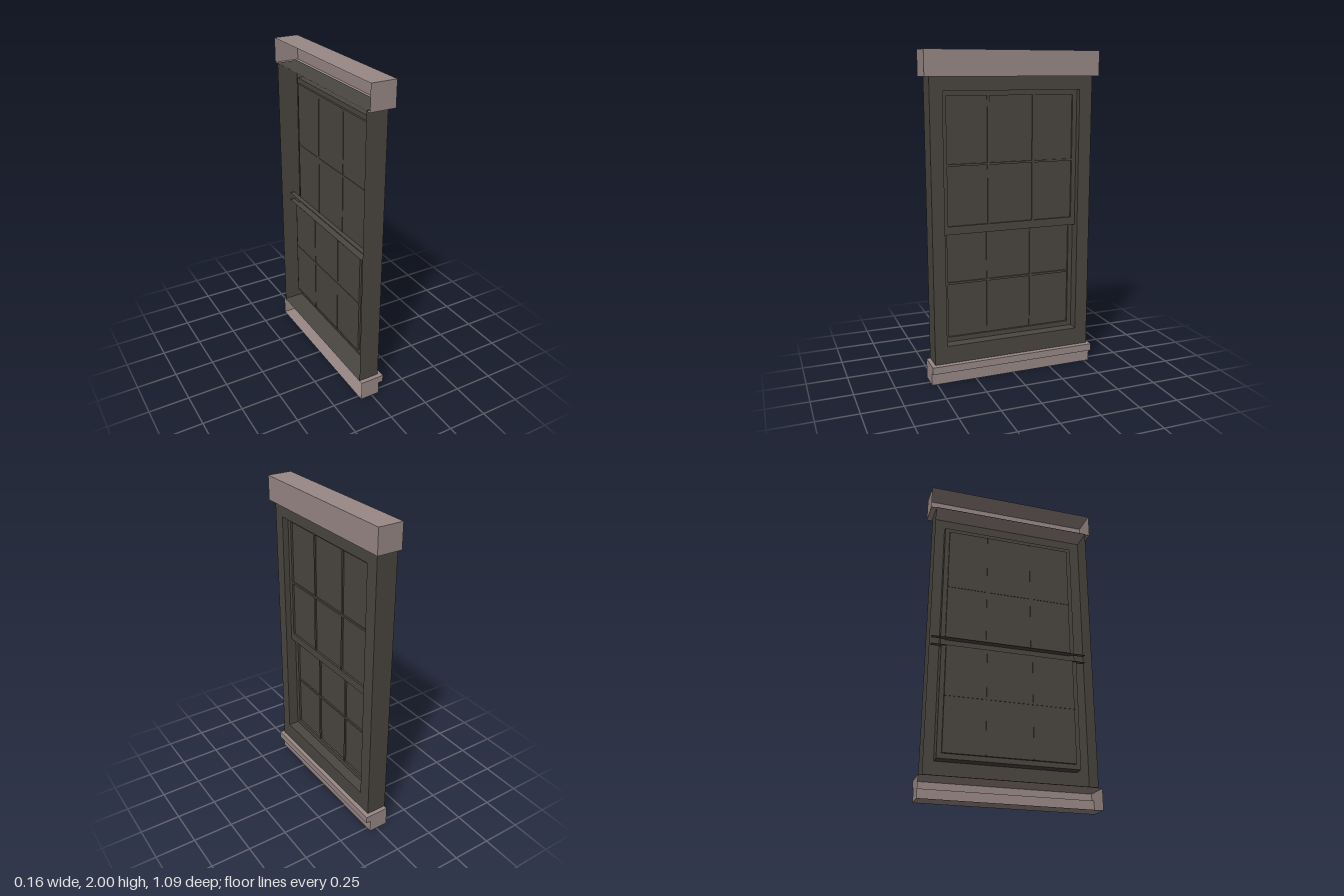
import * as THREE from 'three';
import { mergeGeometries } from 'three/addons/utils/BufferGeometryUtils.js';

// Rectangles are [left, right, bottom, top]; depth runs outwards along local z.
function face([l, r, b, t], depth, hole) {
  const shape = new THREE.Shape([[l, b], [r, b], [r, t], [l, t]].map(p => new THREE.Vector2(...p)));
  if (hole) {
    const [hl, hr, hb, ht] = hole;
    shape.holes.push(new THREE.Path([[hl, hb], [hl, ht], [hr, ht], [hr, hb]].map(p => new THREE.Vector2(...p))));
  }
  return new THREE.ShapeGeometry(shape).translate(0, 0, depth);
}

// Walls running back from the chosen edges of a rectangle, normals outwards
function walls([l, r, b, t], back, front, edges = 'lrbt') {
  const d = front - back, z = (front + back) / 2, cx = (l + r) / 2, cy = (b + t) / 2;
  const make = {
    l: () => new THREE.PlaneGeometry(d, t - b).rotateY(-Math.PI / 2).translate(l, cy, z),
    r: () => new THREE.PlaneGeometry(d, t - b).rotateY(Math.PI / 2).translate(r, cy, z),
    b: () => new THREE.PlaneGeometry(r - l, d).rotateX(Math.PI / 2).translate(cx, b, z),
    t: () => new THREE.PlaneGeometry(r - l, d).rotateX(-Math.PI / 2).translate(cx, t, z),
  };
  return mergeGeometries([...edges].map(e => make[e]()));
}

export function createModel() {
  const stone = new THREE.MeshStandardMaterial({ name: 'stone', color: 0x988886, side: THREE.DoubleSide });
  const wood = new THREE.MeshStandardMaterial({ name: 'darkWood', color: 0x4a4640, side: THREE.DoubleSide });

  const model = new THREE.Group();
  model.name = 'window';
  const body = new THREE.Group();
  body.name = 'windowBody';
  body.rotation.y = Math.PI / 2; // the window looks along +x
  model.add(body);

  function add(name, material, ...geometries) {
    const mesh = new THREE.Mesh(mergeGeometries(geometries), material);
    mesh.name = name;
    body.add(mesh);
  }

  const back = -0.0775, front = 0.0775, frameFront = 0.053;
  const upperSash = 0.015, upperPane = 0.003, lowerSash = -0.015, lowerPane = -0.028;

  // Lintel, open at the back
  const lintel = [-0.543, 0.543, 1.85, 2];
  add('lintel', stone, face(lintel, front), walls(lintel, back, front));

  // Sill with a projecting upper lip, open at the back
  const lip = [-0.533, 0.533, 0.08, 0.125], base = [-0.533, 0.533, 0, 0.08];
  add('sillLip', stone, face(lip, front), walls(lip, back, front, 'lrt'), walls(lip, 0.048, front, 'b'));
  add('sillBase', stone, face(base, 0.048), walls(base, back, 0.048, 'lrb'));

  // Outer frame shell with one tall opening
  const frame = [-0.51, 0.51, 0.129, 1.854], opening = [-0.433, 0.428, 0.24, 1.77];
  add('frame', wood, face(frame, frameFront, opening), walls(frame, back, frameFront));
  const upper = [-0.433, 0.428, 0.925, 1.77], lower = [-0.433, 0.428, 0.24, 0.925];
  add('openingReveal', wood, walls(upper, upperSash, frameFront, 'lrt'), walls(lower, lowerSash, frameFront, 'lrb'));

  // Sashes: upper one set forward of the lower one
  const upperGlass = [-0.403, 0.4, 0.975, 1.74], lowerGlass = [-0.403, 0.4, 0.27, 0.9249];
  add('upperSash', wood, face(upper, upperSash, upperGlass), walls(upperGlass, upperPane, upperSash));
  add('lowerSash', wood, face(lower, lowerSash, lowerGlass), walls(lowerGlass, lowerPane, lowerSash, 'lrb'));
  add('upperPane', wood, face(upperGlass, upperPane));
  add('lowerPane', wood, face(lowerGlass, lowerPane));

  // Meeting rail where the sashes overlap
  add('meetingRail', wood,
    walls([-0.49, 0.49, 0.925, 0.975], lowerPane, upperPane, 'bt'),
    walls(upper, upperPane, upperSash, 'b'));

  // Glazing bars: two uprights and one crossbar in each sash
  for (const [name, [l, r, b, t], pane, crossY] of [
    ['upper', upperGlass, upperPane, 1.34], ['lower', lowerGlass, lowerPane, 0.612]]) {
    const depth = 0.012;
    const bar = (w, h, x, y, d) => new THREE.BoxGeometry(w, h, d).translate(x, y, pane + d / 2 - 0.003);
    add(name + 'Crossbar', wood, bar(r - l, 0.013, (l + r) / 2, crossY, depth));
    for (const x of [-0.145, 0.142])
      add(name + 'Upright', wood, bar(0.013, t - b, x, (b + t) / 2, depth - 0.001));
  }
  return model;
}
